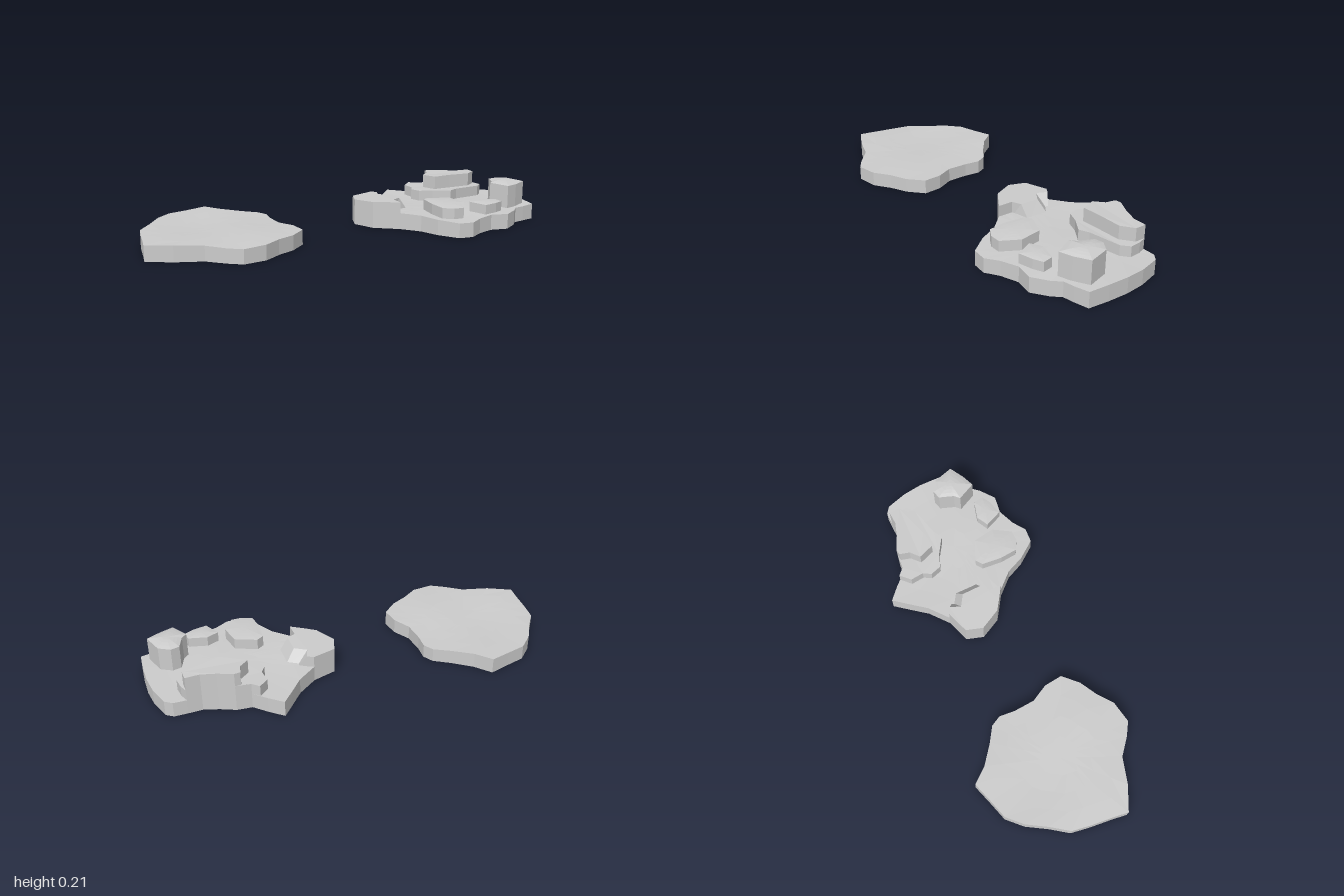
import * as THREE from 'three';

const stone = new THREE.MeshStandardMaterial({ color: 0xcccccc, flatShading: true, side: THREE.DoubleSide });
stone.name = 'grey stone';

// gentle unevenness of the rock tops
const wave = (x, z) => 0.003 * Math.sin(9 * x + 4 * z) + 0.002 * Math.sin(14 * z - 6 * x);

// Rock slab between an outline at y0 and one at y1 (points are x, z, clockwise from above).
// With a centre the top is built in rings and can be domed; otherwise it is triangulated.
function rock(name, outline, y0, y1, { top = outline, centre = null, dome = 0, floor = false } = {}) {
  const pos = [];
  const tri = (a, b, c) => pos.push(...a, ...b, ...c);
  const low = outline.map(([x, z]) => [x, y0, z]);
  const high = top.map(([x, z]) => [x, y1 + wave(x, z), z]);
  const n = low.length;

  // side walls
  for (let i = 0; i < n; i++) {
    const j = (i + 1) % n;
    tri(low[j], low[i], high[i]);
    tri(low[j], high[i], high[j]);
  }

  const faces = (pts) => THREE.ShapeUtils.triangulateShape(pts.map(([x, z]) => new THREE.Vector2(x, z)), []);
  if (centre) {
    const ring = (s) => top.map(([x, z]) => {
      const px = centre[0] + (x - centre[0]) * s, pz = centre[1] + (z - centre[1]) * s;
      return [px, y1 + wave(px, pz) + dome * (1 - s * s), pz];
    });
    const scales = [1, 0.75, 0.5, 0.25, 0];
    for (let k = 0; k < scales.length - 1; k++) {
      const a = ring(scales[k]), b = ring(scales[k + 1]);
      for (let i = 0; i < n; i++) {
        const j = (i + 1) % n;
        tri(a[j], a[i], b[i]);
        if (scales[k + 1] > 0) tri(a[j], b[i], b[j]);
      }
    }
  } else {
    for (const [a, b, c] of faces(top)) tri(high[a], high[c], high[b]);
  }
  if (floor) for (const [a, b, c] of faces(outline)) tri(low[a], low[b], low[c]);

  const geo = new THREE.BufferGeometry();
  geo.setAttribute('position', new THREE.Float32BufferAttribute(pos, 3));
  geo.computeVertexNormals();
  const mesh = new THREE.Mesh(geo, stone);
  mesh.name = name;
  return mesh;
}

export function createModel() {
  const group = new THREE.Group();
  group.name = 'rockSlabs';

  // plain slab, hollow underneath
  group.add(rock('flatSlab', [
    [-0.65, 0.32], [-0.55, 0.30], [-0.44, 0.25], [-0.36, 0.205], [-0.30, 0.205], [-0.23, 0.25],
    [-0.13, 0.295], [-0.03, 0.295], [0.06, 0.33], [0.09, 0.43], [0.09, 0.53], [0.105, 0.63],
    [0.07, 0.74], [0, 0.78], [-0.10, 0.82], [-0.20, 0.92], [-0.31, 1], [-0.38, 0.95],
    [-0.47, 0.89], [-0.55, 0.83], [-0.60, 0.73], [-0.66, 0.63], [-0.69, 0.53], [-0.67, 0.43],
  ], 0, 0.074, { centre: [-0.29, 0.57] }));

  // stepped rock: closed base
  const stepped = new THREE.Group();
  stepped.name = 'steppedRock';
  group.add(stepped);
  stepped.add(rock('steppedBase', [
    [-0.135, -0.63], [-0.055, -0.66], [0.03, -0.685], [0.07, -0.75], [0.135, -0.80], [0.19, -0.855],
    [0.22, -0.92], [0.25, -0.98], [0.29, -1], [0.40, -0.98], [0.495, -0.945], [0.59, -0.895],
    [0.68, -0.84], [0.665, -0.765], [0.65, -0.71], [0.67, -0.66], [0.685, -0.565], [0.63, -0.49],
    [0.62, -0.395], [0.63, -0.315], [0.59, -0.25], [0.475, -0.23], [0.37, -0.235], [0.26, -0.205],
    [0.19, -0.165], [0.135, -0.135], [0.015, -0.135], [-0.05, -0.20], [-0.03, -0.325], [-0.055, -0.45],
    [-0.10, -0.55],
  ], 0, 0.08, { centre: [0.31, -0.56], floor: true }));

  // front ledge with a sloping back
  const ledge = [
    [-0.05, -0.20], [-0.03, -0.325], [0, -0.345], [0.05, -0.372], [0.10, -0.40], [0.21, -0.345],
    [0.19, -0.24], [0.26, -0.205], [0.19, -0.165], [0.135, -0.135], [0.015, -0.135],
  ];
  const ledgeTop = ledge.map((p) => [...p]);
  ledgeTop[3] = [0.04, -0.30];
  ledgeTop[4] = [0.10, -0.335];
  ledgeTop[5] = [0.19, -0.29];
  stepped.add(rock('frontLedge', ledge, 0.06, 0.137, { top: ledgeTop }));

  // two steps along the rear edge
  const rearEdge = [[0.07, -0.75], [0.135, -0.80], [0.19, -0.855], [0.22, -0.92]];
  stepped.add(rock('rearLowerStep', [
    [-0.015, -0.67], [0.03, -0.685], ...rearEdge, [0.265, -0.915], [0.32, -0.895], [0.335, -0.845],
    [0.295, -0.685], [0.295, -0.63], [0.21, -0.58], [0.155, -0.53], [0.095, -0.54], [0.07, -0.58],
    [0.005, -0.605],
  ], 0.06, 0.135));
  stepped.add(rock('rearUpperStep', [
    [0.06, -0.72], ...rearEdge, [0.27, -0.895], [0.287, -0.82], [0.235, -0.70], [0.20, -0.615],
    [0.115, -0.625], [0.10, -0.685],
  ], 0.11, 0.204));

  // loose blocks on the base
  stepped.add(rock('tallBlock', [
    [0.45, -0.765], [0.46, -0.81], [0.515, -0.845], [0.627, -0.825], [0.63, -0.74], [0.622, -0.67],
    [0.515, -0.67], [0.505, -0.705],
  ], 0.06, 0.2, { centre: [0.55, -0.765], dome: 0.014 }));
  stepped.add(rock('smallBlock', [
    [0.505, -0.55], [0.57, -0.62], [0.622, -0.605], [0.622, -0.55], [0.605, -0.475], [0.505, -0.48],
  ], 0.06, 0.13, { centre: [0.57, -0.54], dome: 0.004 }));
  stepped.add(rock('frontBlock', [
    [0.295, -0.40], [0.385, -0.475], [0.495, -0.44], [0.55, -0.35], [0.525, -0.30], [0.475, -0.267],
    [0.39, -0.30], [0.30, -0.357],
  ], 0.06, 0.135, { centre: [0.43, -0.37], dome: 0.006 }));

  return group;
}
